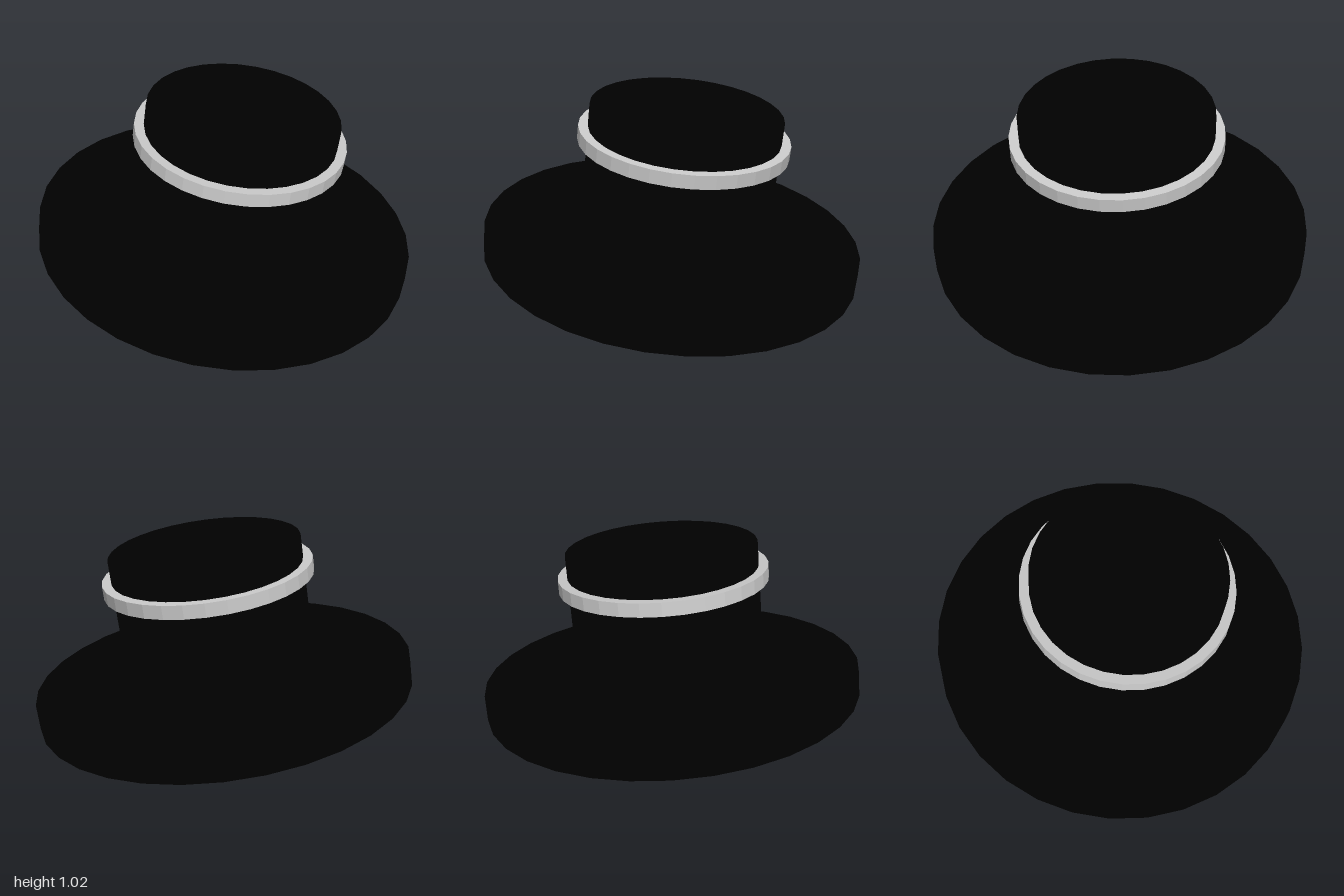
import * as THREE from 'three';

const SIDES = 32;
const black = new THREE.MeshStandardMaterial({ color: 0x000000, flatShading: true });
const grey = new THREE.MeshStandardMaterial({ color: 0xcccccc, flatShading: true });

// Spin a profile of [radius, height] pairs, listed from the bottom upward on the outside
function turned(name, profile, material) {
  const points = profile.map(([r, y]) => new THREE.Vector2(r, y));
  const mesh = new THREE.Mesh(new THREE.LatheGeometry(points, SIDES), material);
  mesh.name = name;
  return mesh;
}

export function createModel() {
  const model = new THREE.Group();
  model.name = 'hat';

  // The whole hat leans toward its left
  const tilted = new THREE.Group();
  tilted.name = 'tiltedHat';
  tilted.rotation.z = THREE.MathUtils.degToRad(-7.75);
  tilted.position.set(-0.01, 0.135, 0);
  model.add(tilted);

  // Thick brim with a sloping upper face
  tilted.add(turned('brim', [[0, 0], [1, 0], [1, 0.137], [0.5, 0.25]], black));

  // Straight crown with a flat top
  tilted.add(turned('crown', [[0.5, 0.25], [0.5, 0.83], [0, 0.83]], black));

  // Raised band around the crown
  tilted.add(turned('band', [[0.5, 0.638], [0.55, 0.638], [0.55, 0.71], [0.5, 0.71]], grey));

  return model;
}
